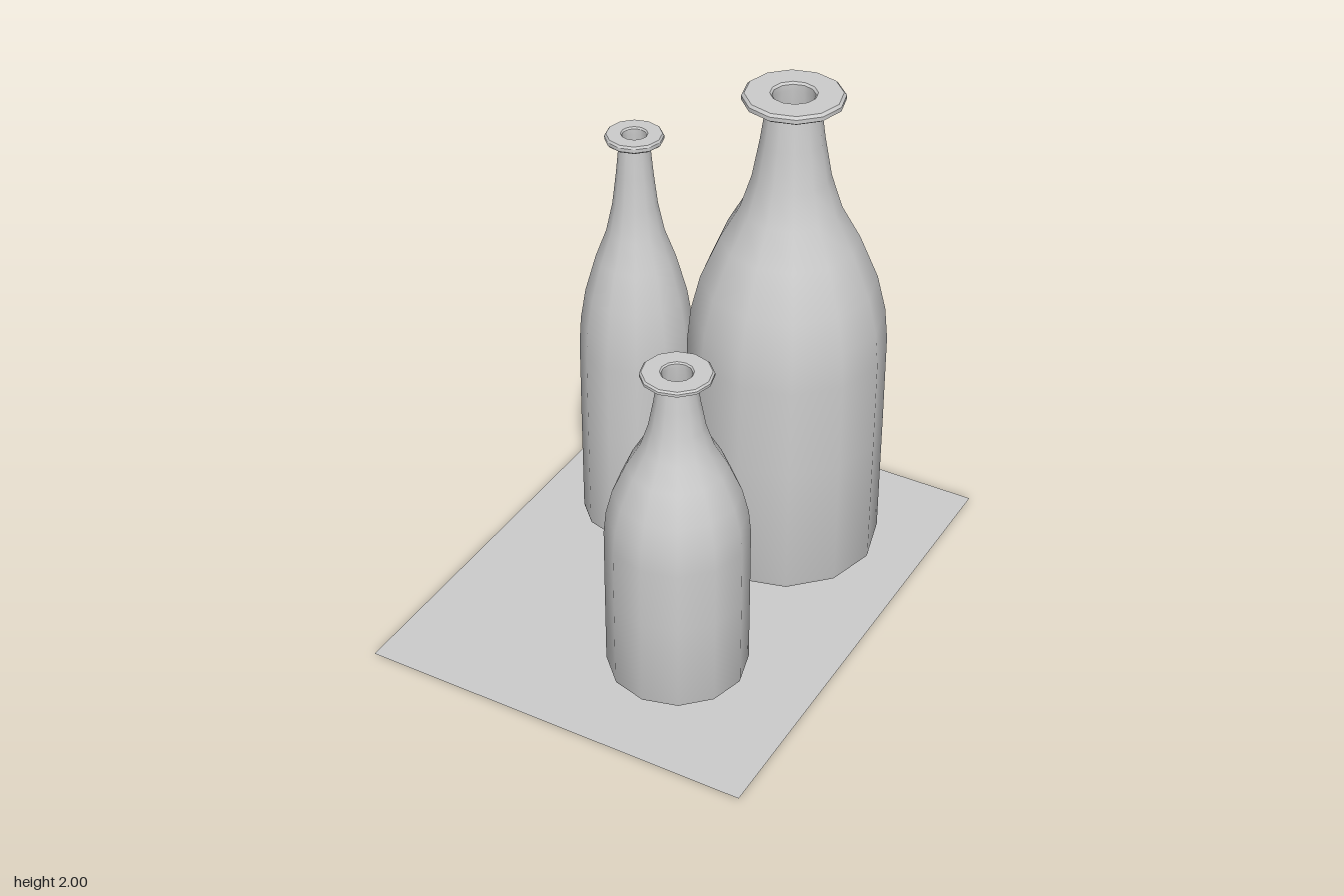
import * as THREE from 'three';
import { toCreasedNormals } from 'three/addons/utils/BufferGeometryUtils.js';

const BASE = 0.022;

// Outer wall as [radius, height], from foot to the underside of the lip
const OUTER = [
  [0.368, 0], [0.38, 0.006], [0.384, 0.02], [0.384, 0.55], [0.383, 0.92],
  [0.37, 1.055], [0.335, 1.2], [0.262, 1.375], [0.19, 1.505],
  [0.147, 1.64], [0.12, 1.79], [0.098, 1.945],
];
// Flat disc lip with a rounded rim
const LIP = [[0.18, 1.945], [0.19, 1.952], [0.19, 1.968], [0.18, 1.978], [0.088, 1.978], [0.08, 1.97]];
const WALL = 0.018;

function bottleGeometry() {
  // Inner wall follows the outer one back down to a closed floor
  const inner = OUTER.slice(3).reverse().map(([r, y]) => [r - WALL, y]);
  const profile = [[0, 0], ...OUTER, ...LIP, ...inner, [0.366, 0.03], [0.02, 0.03], [0, 0.036]];
  const lathe = new THREE.LatheGeometry(profile.map(([r, y]) => new THREE.Vector2(r, y)), 12);
  return toCreasedNormals(lathe, THREE.MathUtils.degToRad(40));
}

export function createModel() {
  const model = new THREE.Group();
  model.name = 'bottlesOnSheet';
  const material = new THREE.MeshStandardMaterial({ color: 0xcccccc });
  const sheetMaterial = new THREE.MeshStandardMaterial({ color: 0xcccccc, side: THREE.DoubleSide });

  // Thin ground sheet
  const sheet = new THREE.Mesh(new THREE.PlaneGeometry(1.57, 2).rotateX(-Math.PI / 2), sheetMaterial);
  sheet.name = 'groundSheet';
  model.add(sheet);

  // Three bottles sharing one shape, stretched to their own radius and height
  const geometry = bottleGeometry();
  const bottles = [
    { name: 'largeBottle', x: 0.215, z: -0.418, radius: 0.384, top: 2 },
    { name: 'slimBottle', x: -0.36, z: -0.26, radius: 0.224, top: 1.755 },
    { name: 'smallBottle', x: 0.243, z: 0.482, radius: 0.268, top: 1.335 },
  ];
  for (const { name, x, z, radius, top } of bottles) {
    const bottle = new THREE.Mesh(geometry, material);
    bottle.name = name;
    bottle.position.set(x, BASE, z);
    bottle.scale.set(radius / 0.384, (top - BASE) / 1.978, radius / 0.384);
    model.add(bottle);
  }
  return model;
}
